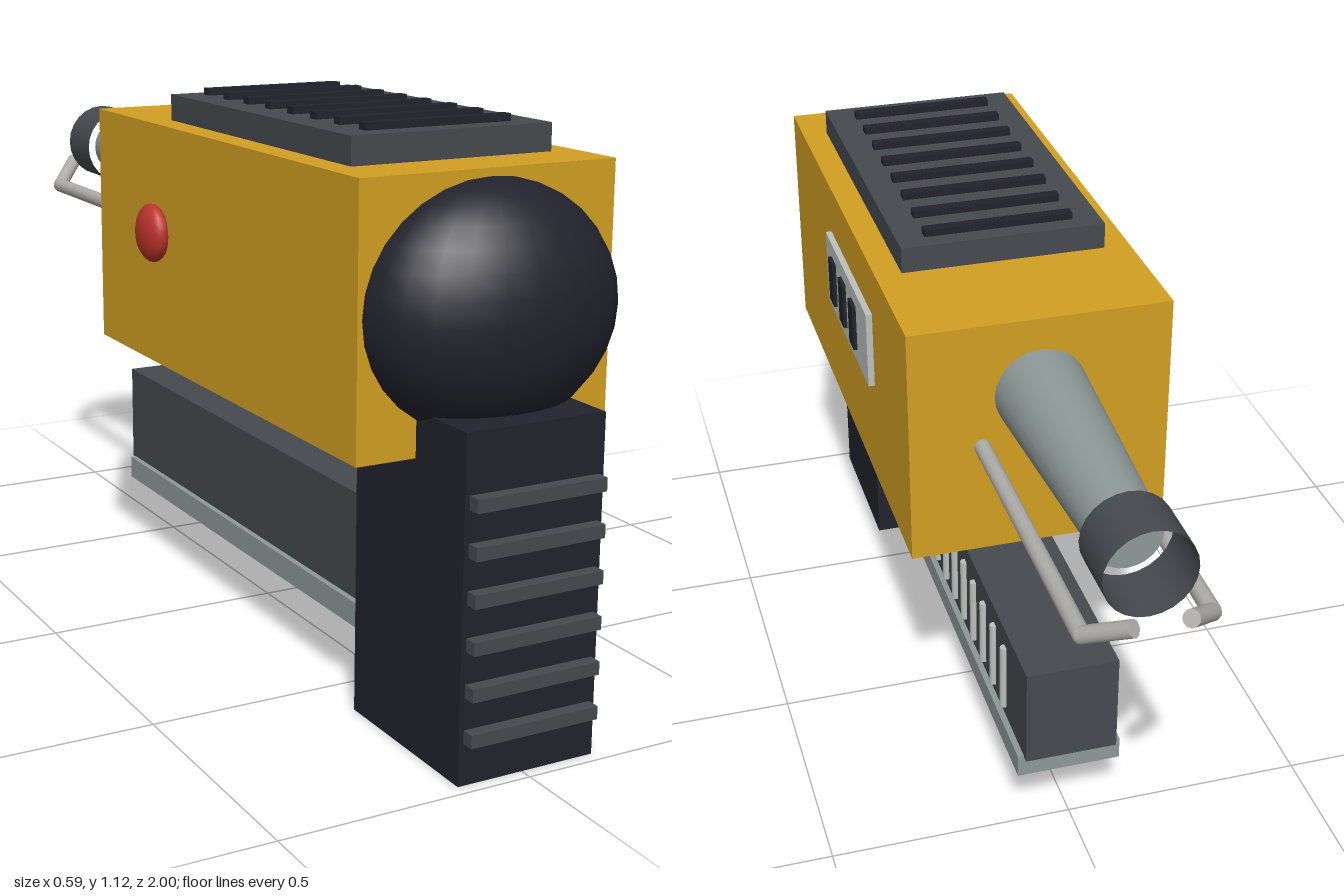
import * as THREE from 'three';

const mat = (name, color, side = THREE.FrontSide) => {
  const m = new THREE.MeshStandardMaterial({ color, side });
  m.name = name;
  return m;
};

export function createModel() {
  const yellow = mat('yellow', 0xd2a022);
  const black = mat('blackBlue', 0x22222d);
  const darkGrey = mat('darkGrey', 0x464a4e, THREE.DoubleSide);
  const midGrey = mat('midGrey', 0x8d9997);
  const paleGrey = mat('paleGrey', 0xbcc2be);
  const steel = mat('steel', 0xaeada9);
  const red = mat('red', 0xbc342d);

  const CX = 0.0085; // centre line of the body
  const model = new THREE.Group();
  model.name = 'toyBlaster';

  const add = (name, geometry, material, x = 0, y = 0, z = 0) => {
    const mesh = new THREE.Mesh(geometry, material);
    mesh.name = name;
    mesh.position.set(x, y, z);
    model.add(mesh);
    return mesh;
  };
  // Box given by its limits on each axis
  const box = (name, material, [x0, x1], [y0, y1], [z0, z1]) =>
    add(name, new THREE.BoxGeometry(x1 - x0, y1 - y0, z1 - z0), material,
      (x0 + x1) / 2, (y0 + y1) / 2, (z0 + z1) / 2);
  const wide = (w) => [CX - w / 2, CX + w / 2];
  const span = (c, w) => [c - w / 2, c + w / 2];

  // Main housing and its rounded rear cap
  box('housing', yellow, wide(0.525), [0.553, 1.052], [-0.298, 0.817]);
  add('rearCap', new THREE.SphereGeometry(1, 24, 16), black, CX, 0.81, 0.81)
    .scale.set(0.255, 0.228, 0.17);

  // Grip with ridges
  box('grip', black, wide(0.285), [0, 0.64], [0.615, 0.975]);
  for (let i = 0; i < 6; i++) {
    box('gripRidge', darkGrey, wide(0.266), span(0.092 + i * 0.085, 0.025), [0.97, 1.0]);
  }

  // Top vent plate with bars
  box('ventPlate', darkGrey, wide(0.418), [1.05, 1.105], [-0.042, 0.697]);
  for (let i = 0; i < 8; i++) {
    box('ventBar', black, wide(0.305), [1.1, 1.119], span(0.007 + i * 0.09, 0.023));
  }

  // Side panel with three slots
  box('sidePanel', paleGrey, [0.268, 0.284], [0.782, 0.946], [0.003, 0.405]);
  for (const z of [0.126, 0.226, 0.327]) {
    box('panelSlot', black, [0.283, 0.292], [0.814, 0.914], span(z, 0.044));
  }

  // Side button
  add('sideButton', new THREE.SphereGeometry(1, 20, 14), red, -0.266, 0.83, 0)
    .scale.set(0.028, 0.06, 0.06);

  // Trigger
  box('trigger', red, wide(0.08), [0.468, 0.56], [0.485, 0.535]);

  // Lower fore bar, its base strip and side ribs
  box('foreBar', darkGrey, wide(0.19), [0.185, 0.4], [-0.535, 0.62]);
  box('foreBarBase', midGrey, wide(0.215), [0.138, 0.187], [-0.52, 0.62]);
  const ribGeo = new THREE.CylinderGeometry(0.009, 0.009, 0.15, 10);
  for (let i = 0; i < 13; i++) {
    add('foreBarRib', ribGeo, paleGrey, CX + 0.098, 0.287, 0.552 - i * 0.078);
  }

  // Tapered barrel and open collar
  const barrel = new THREE.CylinderGeometry(0.065, 0.093, 0.53, 24);
  barrel.rotateX(-Math.PI / 2);
  add('barrel', barrel, midGrey, CX, 0.895, -0.545);
  const collar = new THREE.CylinderGeometry(0.086, 0.086, 0.125, 24, 1, true);
  collar.rotateX(-Math.PI / 2);
  add('barrelCollar', collar, darkGrey, CX, 0.895, -0.8625);

  // Mirrored guide rods with bent tips
  for (const s of [-1, 1]) {
    const pts = [[0.117, 0.79, -0.28], [0.117, 0.79, -0.918], [0.05, 0.84, -0.988]]
      .map(([x, y, z]) => new THREE.Vector3(CX + s * x, y, z));
    for (let i = 0; i < 2; i++) {
      const dir = pts[i + 1].clone().sub(pts[i]);
      const rod = add(i ? 'rodTip' : 'guideRod',
        new THREE.CylinderGeometry(0.0165, 0.0165, dir.length(), 12), steel);
      rod.position.copy(pts[i]).addScaledVector(dir, 0.5);
      rod.quaternion.setFromUnitVectors(new THREE.Vector3(0, 1, 0), dir.normalize());
    }
    add('rodElbow', new THREE.SphereGeometry(0.0165, 12, 8), steel, pts[1].x, pts[1].y, pts[1].z);
  }

  return model;
}
